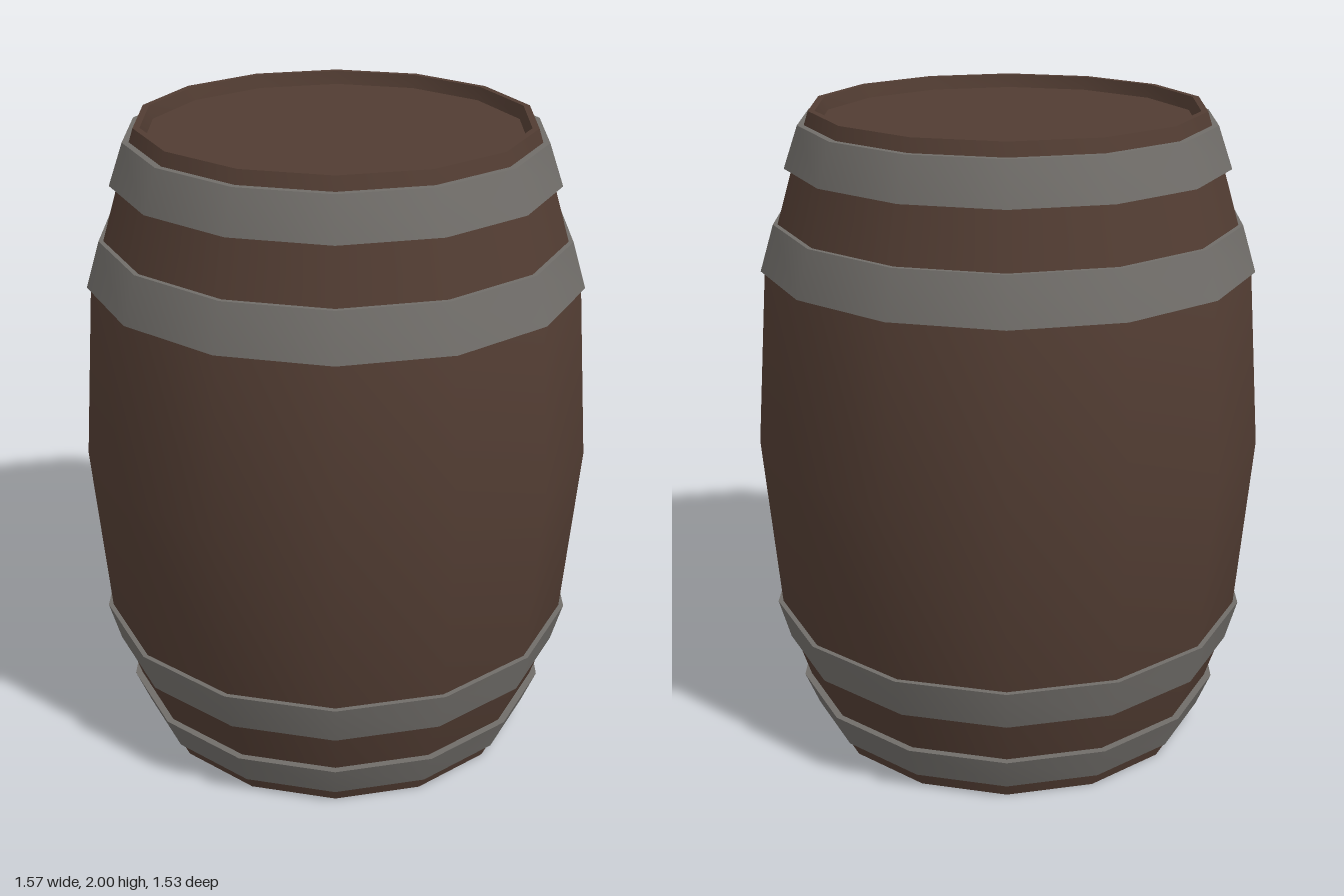
import * as THREE from 'three';
import { toCreasedNormals } from 'three/addons/utils/BufferGeometryUtils.js';

const SIDES = 14;

// Revolved profile of [radius, height] pairs, with a corner on the x axis
function turned(name, profile, material) {
  const points = profile.map(([r, y]) => new THREE.Vector2(r, y));
  const lathe = new THREE.LatheGeometry(points, SIDES, Math.PI / 2, Math.PI * 2);
  const mesh = new THREE.Mesh(toCreasedNormals(lathe, THREE.MathUtils.degToRad(34)), material);
  mesh.name = name;
  return mesh;
}

// Flat recessed disc closing one end
function lid(name, y, facing, material) {
  const geometry = new THREE.CircleGeometry(0.565, SIDES);
  geometry.rotateX(-facing * Math.PI / 2);
  const mesh = new THREE.Mesh(geometry, material);
  mesh.name = name;
  mesh.position.y = y;
  return mesh;
}

export function createModel() {
  const wood = new THREE.MeshStandardMaterial({ name: 'dark wood', color: 0x513c32 });
  const metal = new THREE.MeshStandardMaterial({ name: 'grey metal', color: 0x706d69 });
  const barrel = new THREE.Group();
  barrel.name = 'barrel';

  // Bulging staves, including the raised rim at both ends
  barrel.add(turned('staves', [
    [0.565, 0.04], [0.58, 0], [0.605, 0], [0.66, 0.16], [0.705, 0.3], [0.74, 0.43],
    [0.785, 0.99],
    [0.743, 1.53], [0.698, 1.67], [0.65, 1.83], [0.595, 2], [0.575, 2], [0.565, 1.96],
  ], wood));

  // Ends
  barrel.add(lid('topLid', 1.96, 1, wood));
  barrel.add(lid('bottomLid', 0.04, -1, wood));

  // Hoops: bottom height, bottom radius, top height, top radius
  const hoops = [
    ['bottomHoop', 0.05, 0.637, 0.16, 0.682],
    ['lowerHoop', 0.305, 0.72, 0.435, 0.756],
    ['upperHoop', 1.53, 0.755, 1.67, 0.712],
    ['topHoop', 1.835, 0.672, 1.96, 0.628],
  ];
  for (const [name, y0, r0, y1, r1] of hoops) {
    barrel.add(turned(name, [[r0 - 0.05, y0], [r0, y0], [r1, y1], [r1 - 0.05, y1]], metal));
  }
  return barrel;
}
